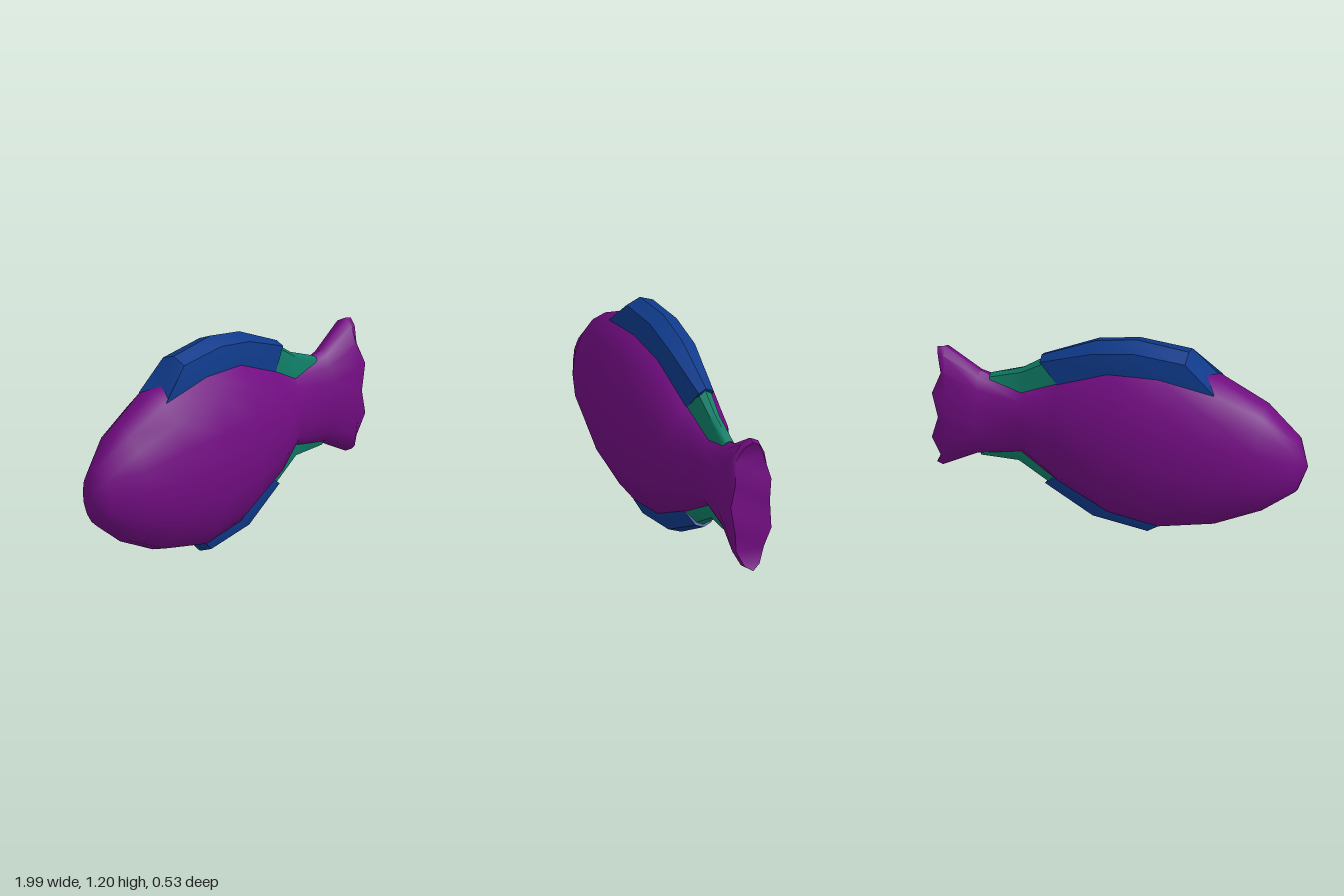
import * as THREE from 'three';
import { toCreasedNormals } from 'three/addons/utils/BufferGeometryUtils.js';

const SIDES = 16;

// Skins a list of equal-length point rows; extra holds further triangles
function loft(rows, extra = [], crease = 0.9) {
  const n = rows[0].length, index = [];
  for (let i = 0; i < rows.length - 1; i++) {
    for (let j = 0; j < n - 1; j++) {
      const a = i * n + j, b = a + n;
      index.push(a, b, a + 1, b, b + 1, a + 1);
    }
  }
  const g = new THREE.BufferGeometry();
  g.setAttribute('position', new THREE.Float32BufferAttribute(rows.flat(2), 3));
  g.setIndex(index.concat(extra));
  return toCreasedNormals(g, crease);
}

function makeMesh(name, geometry, color) {
  const material = new THREE.MeshStandardMaterial({ color, side: THREE.DoubleSide });
  const mesh = new THREE.Mesh(geometry, material);
  mesh.name = name;
  return mesh;
}

// Body and tail: elliptical rings [x, centre y, half height, half width]
function bodyGeometry() {
  const sections = [
    [-1, 0.567, 0, 0], [-0.945, 0.575, 0.165, 0.1], [-0.77, 0.585, 0.32, 0.187],
    [-0.52, 0.582, 0.448, 0.243], [-0.22, 0.57, 0.514, 0.263], [0.05, 0.575, 0.482, 0.245],
    [0.33, 0.573, 0.333, 0.188], [0.53, 0.57, 0.206, 0.09], [0.76, 0.57, 0.262, 0.1],
    [0.91, 0.573, 0.378, 0.13], [0.99, 0.57, 0.37, 0.112],
  ];
  const last = sections.length - 1;
  // Scalloped trailing edge, repeated per quarter turn
  const scallop = [-0.035, 0, -0.04, -0.015, 0];
  const rows = sections.map(([x, cy, h, w], i) => Array.from({ length: SIDES + 1 }, (_, j) => {
    const t = j / SIDES * Math.PI * 2;
    const k = j % 8 > 4 ? 8 - j % 8 : j % 8;
    let dx = 0;
    if (i === last) dx = scallop[k];
    if (i === last - 1) dx = 0.04 * Math.sin(t) ** 2;
    return [x + dx, cy + h * Math.sin(t), w * Math.cos(t)];
  }));
  // Tail end closed by strips from side to side
  const cap = [], base = last * (SIDES + 1);
  const at = k => base + (k + SIDES) % SIDES;
  for (let k = -4; k < 4; k++) {
    const a = at(8 - k), b = at(7 - k), c = at(k + 1), d = at(k);
    cap.push(a, b, c, a, c, d);
  }
  return loft(rows, cap);
}

// Fin: stations [root x, root y, root half width, ridge x, ridge y, shoulder half width, shoulder drop]
// side is 1 for the back and -1 for the belly
function finGeometry(stations, side) {
  const rows = stations.map(([rx, ry, rw, x, y, w, drop]) => {
    const row = [
      [rx, ry - side * 0.03, rw], [rx, ry, rw], [x, y - side * drop, w], [x, y, 0],
      [x, y - side * drop, -w], [rx, ry, -rw], [rx, ry - side * 0.03, -rw],
    ];
    return side > 0 ? row : row.reverse();
  });
  const n = 7, end = (rows.length - 1) * n, caps = [];
  for (let j = 1; j < n - 1; j++) {
    caps.push(0, j, j + 1, end, end + j + 1, end + j);
  }
  return loft(rows, caps, 0.6);
}

export function createModel() {
  const model = new THREE.Group();
  model.name = 'fish';
  const purple = 0x720d82, blue = 0x0f3a8a, green = 0x0f7d66;

  model.add(makeMesh('body', bodyGeometry(), purple));

  // Broad front fins
  model.add(makeMesh('backFin', finGeometry([
    [-0.52, 0.998, 0.096, -0.36, 1.177, 0.075, 0.03],
    [-0.22, 1.046, 0.102, -0.08, 1.2, 0.077, 0.038],
    [0.05, 1.021, 0.096, 0.14, 1.15, 0.075, 0.035],
    [0.33, 0.881, 0.074, 0.43, 1.0, 0.042, 0.02],
  ], 1), blue));
  model.add(makeMesh('bellyFin', finGeometry([
    [-0.22, 0.094, 0.102, -0.16, 0.003, 0.08, 0.035],
    [0.05, 0.129, 0.096, 0.135, 0.045, 0.075, 0.03],
    [0.33, 0.264, 0.074, 0.4, 0.19, 0.045, 0.02],
  ], -1), blue));

  // Narrow rear fins
  model.add(makeMesh('rearBackFin', finGeometry([
    [0.33, 0.88, 0.071, 0.42, 0.985, 0.035, 0.022],
    [0.53, 0.76, 0.036, 0.53, 0.9, 0.027, 0.015],
    [0.7, 0.79, 0.036, 0.705, 0.82, 0.022, 0.005],
  ], 1), green));
  model.add(makeMesh('rearBellyFin', finGeometry([
    [0.33, 0.265, 0.071, 0.39, 0.2, 0.035, 0.02],
    [0.53, 0.38, 0.036, 0.545, 0.305, 0.027, 0.01],
    [0.74, 0.33, 0.036, 0.75, 0.3, 0.022, 0.005],
  ], -1), green));

  return model;
}
